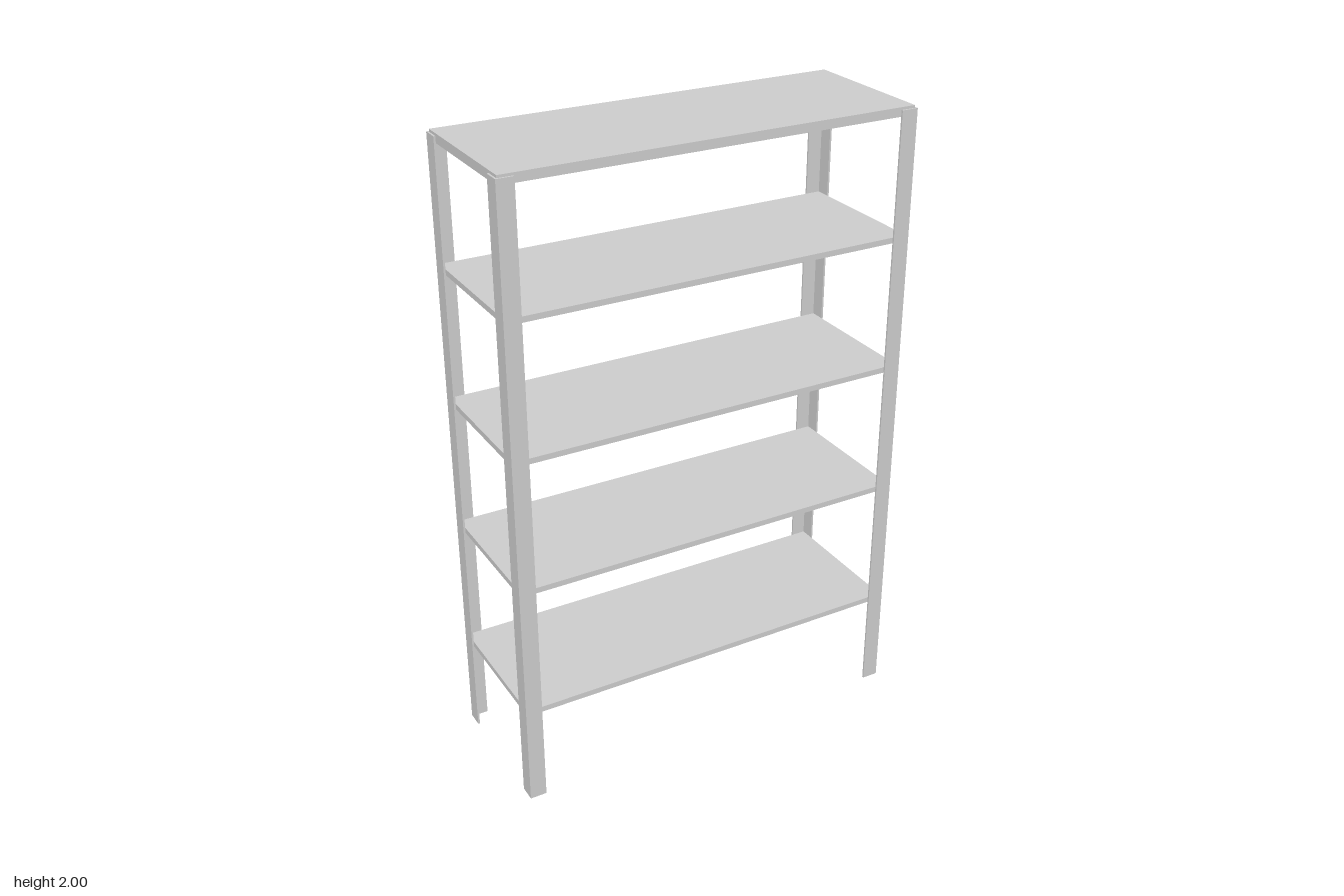
import * as THREE from 'three';

const X = 0.655, Z = 0.236;   // outer half width and half depth
const FLANGE = 0.053, T = 0.006; // angle-iron leg width and wall thickness
const POST_H = 1.992;

export function createModel() {
  const group = new THREE.Group();
  group.name = 'shelvingUnit';
  const mat = new THREE.MeshStandardMaterial({ color: 0xcccccc, flatShading: true });

  // L-section corner post, heel of the angle at the outer corner
  function addPost(name, sx, sz) {
    const outline = [[0, 0], [FLANGE, 0], [FLANGE, T], [T, T], [T, FLANGE], [0, FLANGE]];
    const shape = new THREE.Shape(
      outline.map(([a, b]) => new THREE.Vector2(sx * (X - a), -sz * (Z - b))));
    const geo = new THREE.ExtrudeGeometry(shape, { depth: POST_H, bevelEnabled: false });
    geo.rotateX(-Math.PI / 2);
    const post = new THREE.Mesh(geo, mat);
    post.name = name;
    group.add(post);
  }
  addPost('frontLeftPost', 1, 1);
  addPost('frontRightPost', -1, 1);
  addPost('backLeftPost', 1, -1);
  addPost('backRightPost', -1, -1);

  // Shelves fitted inside the posts: [top height, thickness]
  const shelves = [[0.329, 0.018], [0.756, 0.018], [1.182, 0.018], [1.607, 0.018], [2, 0.028]];
  shelves.forEach(([top, thick], i) => {
    const shelf = new THREE.Mesh(
      new THREE.BoxGeometry(2 * (X - T), thick, 2 * (Z - T)), mat);
    shelf.position.y = top - thick / 2;
    shelf.name = i === shelves.length - 1 ? 'topShelf' : `shelf${i + 1}`;
    group.add(shelf);
  });

  return group;
}
